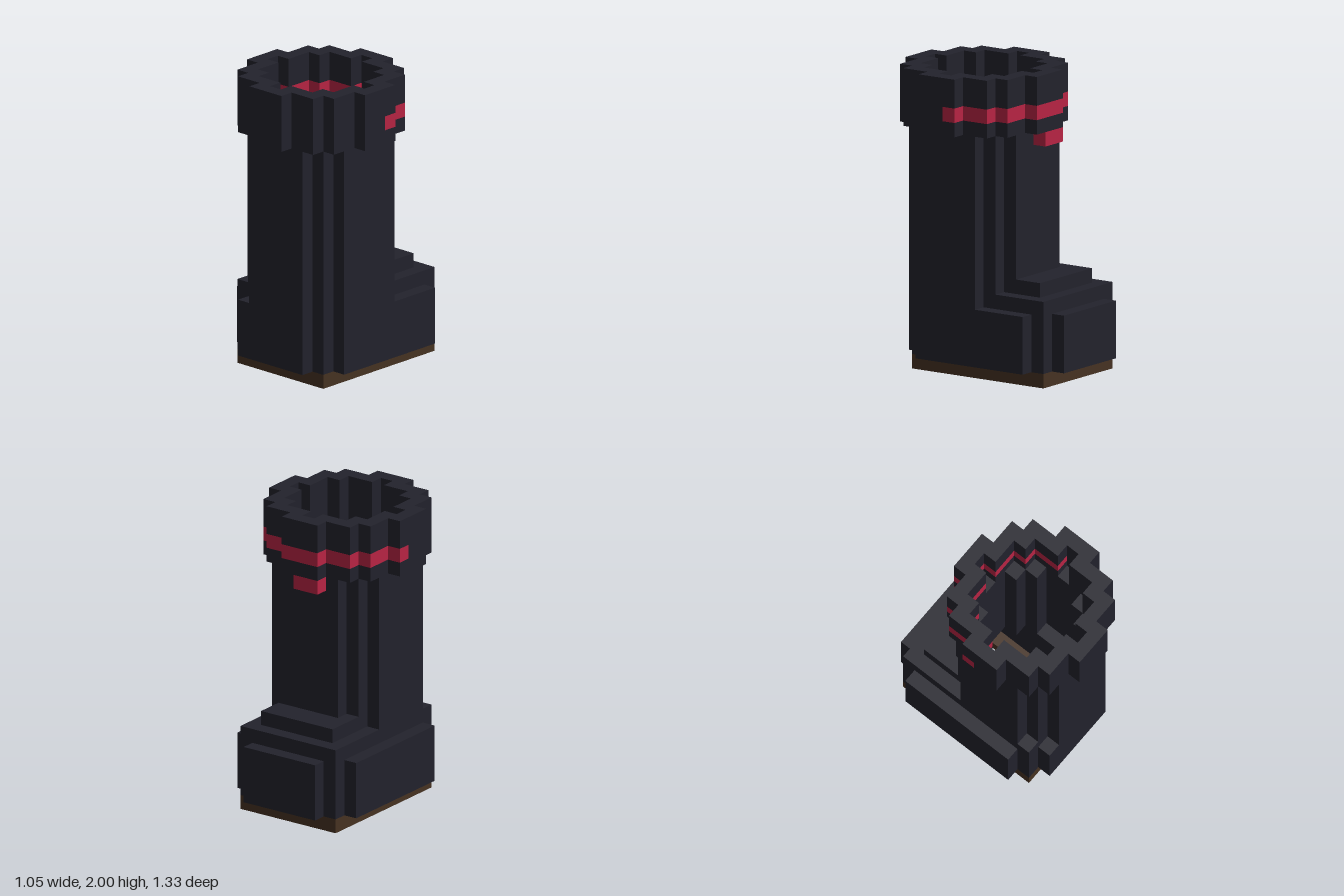
import * as THREE from 'three';
import { mergeGeometries } from 'three/addons/utils/BufferGeometryUtils.js';

const U = 2 / 21; // one block; the boot is 11 x 21 x 14 blocks

// Box from block coordinates: x, y, z ranges
function block(x0, x1, y0, y1, z0, z1) {
  const g = new THREE.BoxGeometry((x1 - x0) * U, (y1 - y0) * U, (z1 - z0) * U);
  g.translate(((x0 + x1) / 2 - 5.5) * U, ((y0 + y1) / 2) * U, ((z0 + z1) / 2 - 7) * U);
  return g;
}

// Round stepped ring: half-widths of outside and hole by row distance from the centre
function ring(outer, inner, y0, y1, zMin = 0, zMax = 14) {
  const parts = [];
  for (let z = 3; z < 14; z++) {
    const d = Math.abs(z - 8);
    if (d >= outer.length || z < zMin || z >= zMax) continue;
    const o = outer[d], h = inner[d] ?? 0;
    if (h > 0) {
      parts.push(block(5.5 - o, 5.5 - h, y0, y1, z, z + 1));
      parts.push(block(5.5 + h, 5.5 + o, y0, y1, z, z + 1));
    } else parts.push(block(5.5 - o, 5.5 + o, y0, y1, z, z + 1));
  }
  return parts;
}

// Rectangular frame with a rectangular hole
function frame([x0, x1, z0, z1], [a0, a1, b0, b1], y0, y1) {
  return [
    block(x0, x1, y0, y1, z0, b0), block(x0, x1, y0, y1, b1, z1),
    block(x0, a0, y0, y1, b0, b1), block(a1, x1, y0, y1, b0, b1),
  ];
}

export function createModel() {
  const leather = new THREE.MeshStandardMaterial({ name: 'dark leather', color: 0x22222c });
  const red = new THREE.MeshStandardMaterial({ name: 'red trim', color: 0xb82444 });
  const brown = new THREE.MeshStandardMaterial({ name: 'brown sole', color: 0x463222 });

  const boot = new THREE.Group();
  boot.name = 'boot';
  const add = (name, parts, material) => {
    const mesh = new THREE.Mesh(mergeGeometries(parts), material);
    mesh.name = name;
    boot.add(mesh);
  };

  // Sole and hollow foot
  add('sole', frame([1, 9, 1, 12], [3, 7, 3, 10], 0, 1), brown);
  add('foot', frame([1, 9, 1, 12], [2, 8, 2, 11], 1, 6), leather);
  add('footPads', [
    block(2, 8, 1, 5, 0, 1), block(2, 8, 1, 5, 12, 13),
    block(0, 1, 1, 5, 2, 11), block(9, 10, 1, 5, 2, 11),
  ], leather);
  add('instep', [block(2, 8, 6, 7, 2, 5)], leather);

  // Shaft, with its two faces that run down to the pads
  add('shaft', [
    ...ring([4.5, 4.5, 4.5, 3.5, 2.5], [3.5, 3.5, 2.5, 1.5], 6, 17),
    block(9, 10, 5, 6, 6, 11), block(3, 8, 5, 6, 12, 13),
  ], leather);

  // Cuff with a red band around the back half
  const cuffOuter = [5.5, 5.5, 4.5, 4.5, 3.5, 1.5];
  const cuffInner = [4.5, 3.5, 3.5, 2.5, 0.5];
  add('cuff', [
    ...ring(cuffOuter, cuffInner, 17, 18),
    ...ring(cuffOuter, cuffInner, 18, 19, 8, 14),
    ...ring(cuffOuter, cuffInner, 19, 21),
  ], leather);
  add('cuffBand', ring(cuffOuter, cuffInner, 18, 19, 0, 8), red);
  add('backTab', [block(4, 6, 16, 17, 3, 4)], red);

  return boot;
}
